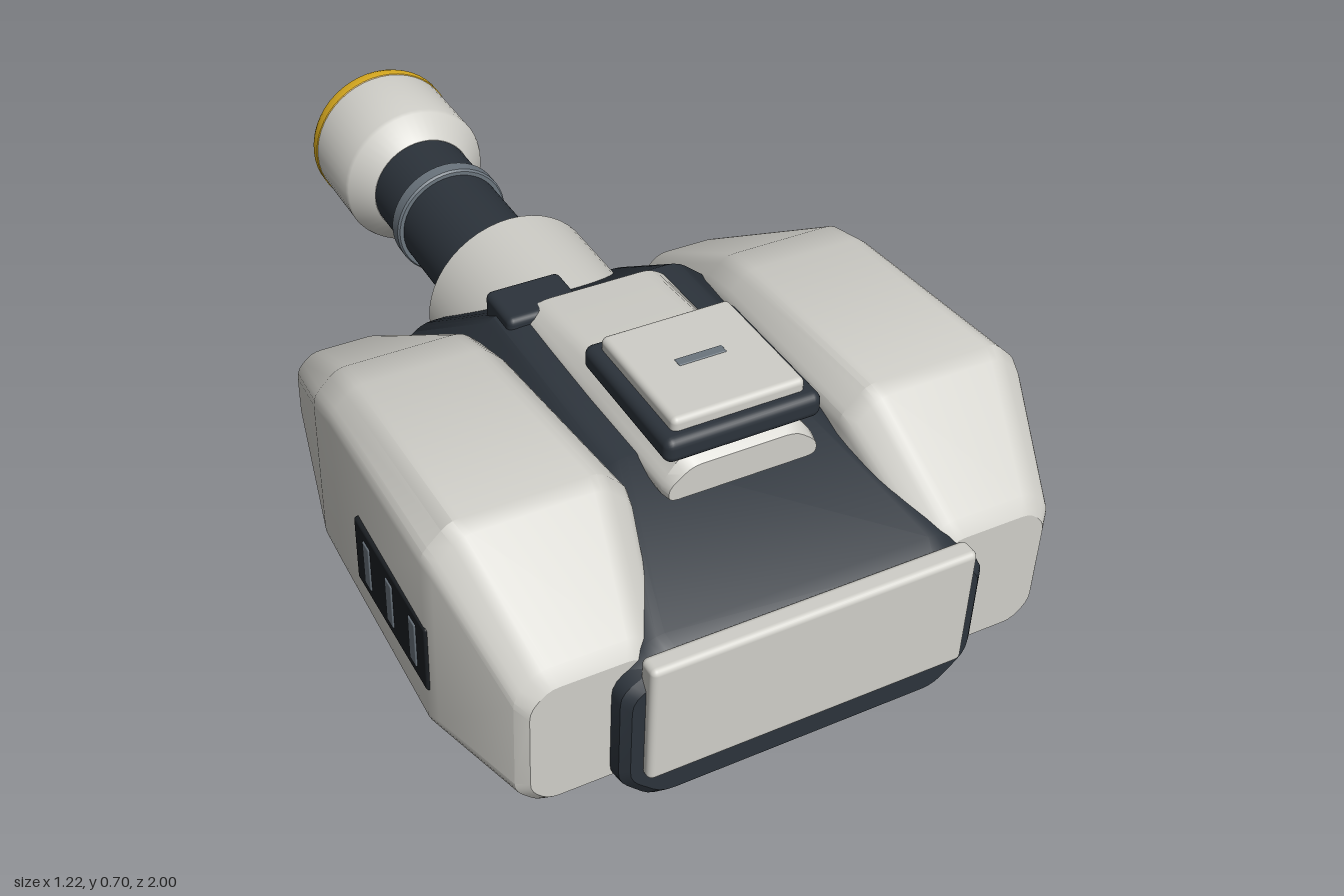
import * as THREE from 'three';
import { toCreasedNormals } from 'three/addons/utils/BufferGeometryUtils.js';
import { RoundedBoxGeometry } from 'three/addons/geometries/RoundedBoxGeometry.js';

const mat = (color) => new THREE.MeshStandardMaterial({ color });
const BARREL_Y = 0.325;

// Replace every corner of a polygon by a small arc.
function roundCorners(pts, r) {
  const out = [];
  pts.forEach((p, i) => {
    const toward = (q) => {
      const d = q.clone().sub(p);
      return p.clone().add(d.setLength(Math.min(r, d.length() * 0.4)));
    };
    const a = toward(pts[(i + pts.length - 1) % pts.length]);
    const b = toward(pts[(i + 1) % pts.length]);
    out.push(...new THREE.QuadraticBezierCurve(a, p, b).getPoints(3));
  });
  return out;
}

// Skin closed cross-sections [z, points], ordered from -z to +z, points counter-clockwise.
function loft(sections, r, crease = 0.5) {
  const rings = sections.map(([z, pts]) => roundCorners(pts.map(([x, y]) => new THREE.Vector2(x, y)), r)
    .map((p) => [p.x, p.y, z]));
  const n = rings[0].length;
  const index = [];
  for (let i = 0; i < rings.length - 1; i++) {
    for (let j = 0; j < n; j++) {
      const a = i * n + j, b = i * n + (j + 1) % n;
      index.push(a, b, a + n, b, b + n, a + n);
    }
  }
  const last = (rings.length - 1) * n;
  for (let j = 1; j < n - 1; j++) {
    index.push(0, j + 1, j);
    index.push(last, last + j, last + j + 1);
  }
  const g = new THREE.BufferGeometry();
  g.setAttribute('position', new THREE.Float32BufferAttribute(rings.flat(2), 3));
  g.setIndex(index);
  return toCreasedNormals(g, crease);
}

// Symmetric eight-sided hull section.
const hullSection = ([z, y0, y1, wb, wm, wt, yl, yu]) => [z, [
  [wb, y0], [wm, yl], [wm, yu], [wt, y1], [-wt, y1], [-wm, yu], [-wm, yl], [-wb, y0]]];

// Chamfered box section of a side pod; side = 1 or -1.
function podSection([z, xi, xo, y0, y1, c], side) {
  const pts = [[xo - c, y0], [xo, y0 + c], [xo, y1 - c], [xo - c, y1],
    [xi + c, y1], [xi, y1 - c], [xi, y0 + c], [xi + c, y0]].map(([x, y]) => [x * side, y]);
  return [z, side > 0 ? pts : pts.reverse()];
}

// Turned part along the barrel axis; profile is [radius, distance towards -z].
function turned(profile) {
  const g = new THREE.LatheGeometry(profile.map(([r, d]) => new THREE.Vector2(r, d)), 48);
  g.rotateX(-Math.PI / 2).translate(0, BARREL_Y, 0);
  return toCreasedNormals(g, 0.5);
}

export function createModel() {
  const group = new THREE.Group();
  const shell = mat(0xcfcec8), dark = mat(0x2c333b), black = mat(0x1b1f23);
  const steel = mat(0x6b757e), yellow = mat(0xe0b021), teal = mat(0x2fb0b8);

  const add = (name, geometry, material, parent = group) => {
    const m = new THREE.Mesh(geometry, material);
    m.name = name;
    parent.add(m);
    return m;
  };
  // Rounded box given by its extents.
  const box = (name, [x0, x1], [y0, y1], [z0, z1], r, material, parent) => {
    const m = add(name, new RoundedBoxGeometry(x1 - x0, y1 - y0, z1 - z0, 3, r), material, parent);
    m.position.set((x0 + x1) / 2, (y0 + y1) / 2, (z0 + z1) / 2);
    return m;
  };

  // Turntable
  add('turntable', new THREE.CylinderGeometry(0.43, 0.43, 0.085, 64), dark).position.set(0, 0.0425, 0.42);

  // Central hull
  add('hull', loft([
    [-0.18, 0.15, 0.345, 0.21, 0.28, 0.23, 0.19, 0.30],
    [-0.16, 0.14, 0.37, 0.23, 0.30, 0.24, 0.18, 0.32],
    [0.13, 0.10, 0.57, 0.33, 0.41, 0.20, 0.15, 0.40],
    [0.62, 0.10, 0.57, 0.37, 0.43, 0.20, 0.14, 0.40],
    [0.93, 0.10, 0.455, 0.31, 0.37, 0.29, 0.17, 0.39],
    [0.965, 0.105, 0.435, 0.30, 0.365, 0.28, 0.17, 0.385],
    [0.98, 0.12, 0.42, 0.285, 0.35, 0.27, 0.18, 0.375],
  ].map(hullSection), 0.025), dark);

  // Front plate
  box('frontPlate', [-0.325, 0.325], [0.185, 0.45], [0.955, 1.0], 0.012, shell);

  // Side pods with slatted vents
  const podRows = [
    [-0.195, 0.32, 0.495, 0.19, 0.33, 0.03],
    [-0.18, 0.30, 0.515, 0.165, 0.36, 0.035],
    [0.17, 0.24, 0.595, 0.137, 0.582, 0.05],
    [0.26, 0.235, 0.597, 0.135, 0.602, 0.05],
    [0.70, 0.215, 0.605, 0.13, 0.632, 0.055],
    [0.73, 0.22, 0.597, 0.132, 0.62, 0.055],
    [0.92, 0.265, 0.54, 0.145, 0.46, 0.045],
    [0.94, 0.285, 0.52, 0.165, 0.43, 0.035],
  ];
  for (const side of [1, -1]) {
    const label = side > 0 ? 'left' : 'right';
    add(label + 'Pod', loft(podRows.map((row) => podSection(row, side)), 0.02), shell);
    const vent = new THREE.Group();
    vent.name = label + 'Vent';
    const span = (a, b) => (side > 0 ? [a, b] : [-b, -a]);
    box('ventPanel', span(0.58, 0.608), [0.265, 0.415], [0.385, 0.71], 0.006, black, vent);
    for (const z of [0.655, 0.55, 0.445]) {
      box('ventSlat', span(0.59, 0.611), [0.29, 0.392], [z - 0.015, z + 0.015], 0.003, steel, vent);
    }
    group.add(vent);
  }

  // Raised spine under the hatch
  add('spine', loft([
    [0.14, 0.14, 0.11, 0.575], [0.16, 0.16, 0.12, 0.595],
    [0.45, 0.16, 0.12, 0.625], [0.71, 0.155, 0.115, 0.622], [0.73, 0.15, 0.105, 0.605],
  ].map(([z, wb, wt, y]) => [z, [[wb, 0.54], [wb, 0.57], [wt, y], [-wt, y], [-wb, 0.57], [-wb, 0.54]]]), 0.02), shell);

  // Roof hatch
  box('hatchFrame', [-0.157, 0.157], [0.62, 0.672], [0.41, 0.73], 0.018, dark);
  box('hatchCap', [-0.133, 0.133], [0.66, 0.697], [0.433, 0.705], 0.012, shell);
  box('hatchSlot', [-0.048, 0.048], [0.69, 0.699], [0.555, 0.575], 0.002, steel);

  // Sight with glowing lens
  box('sightHousing', [-0.2, -0.04], [0.51, 0.59], [0.075, 0.19], 0.014, dark);
  box('sightLens', [-0.165, -0.075], [0.535, 0.573], [0.066, 0.09], 0.004, teal);

  // Gun
  add('barrelCollar', turned([[0.195, -0.12], [0.195, 0.232], [0.188, 0.24], [0.145, 0.24], [0.145, 0.21], [0.1, 0.21]]), shell);
  add('barrel', turned([[0.121, 0.1], [0.121, 0.74]]), dark);
  for (const d of [0.24, 0.55]) {
    const e = d + 0.04;
    add('barrelRing', turned([[0.115, d], [0.13, d], [0.134, d + 0.005], [0.134, e - 0.005], [0.13, e], [0.115, e]]), steel);
  }
  add('muzzle', turned([[0.11, 0.72], [0.122, 0.72], [0.17, 0.767], [0.174, 0.777], [0.174, 0.97],
    [0.155, 0.997], [0.09, 0.997], [0.09, 0.97]]), shell);
  add('muzzleBand', turned([[0.172, 0.957], [0.176, 0.96], [0.176, 0.982], [0.171, 0.994], [0.16, 1.0], [0.14, 1.0], [0.138, 0.995]]), yellow);
  add('bore', turned([[0.091, 0.998], [0.088, 0.99], [0.088, 0.85], [0, 0.85]]), black);

  return group;
}
